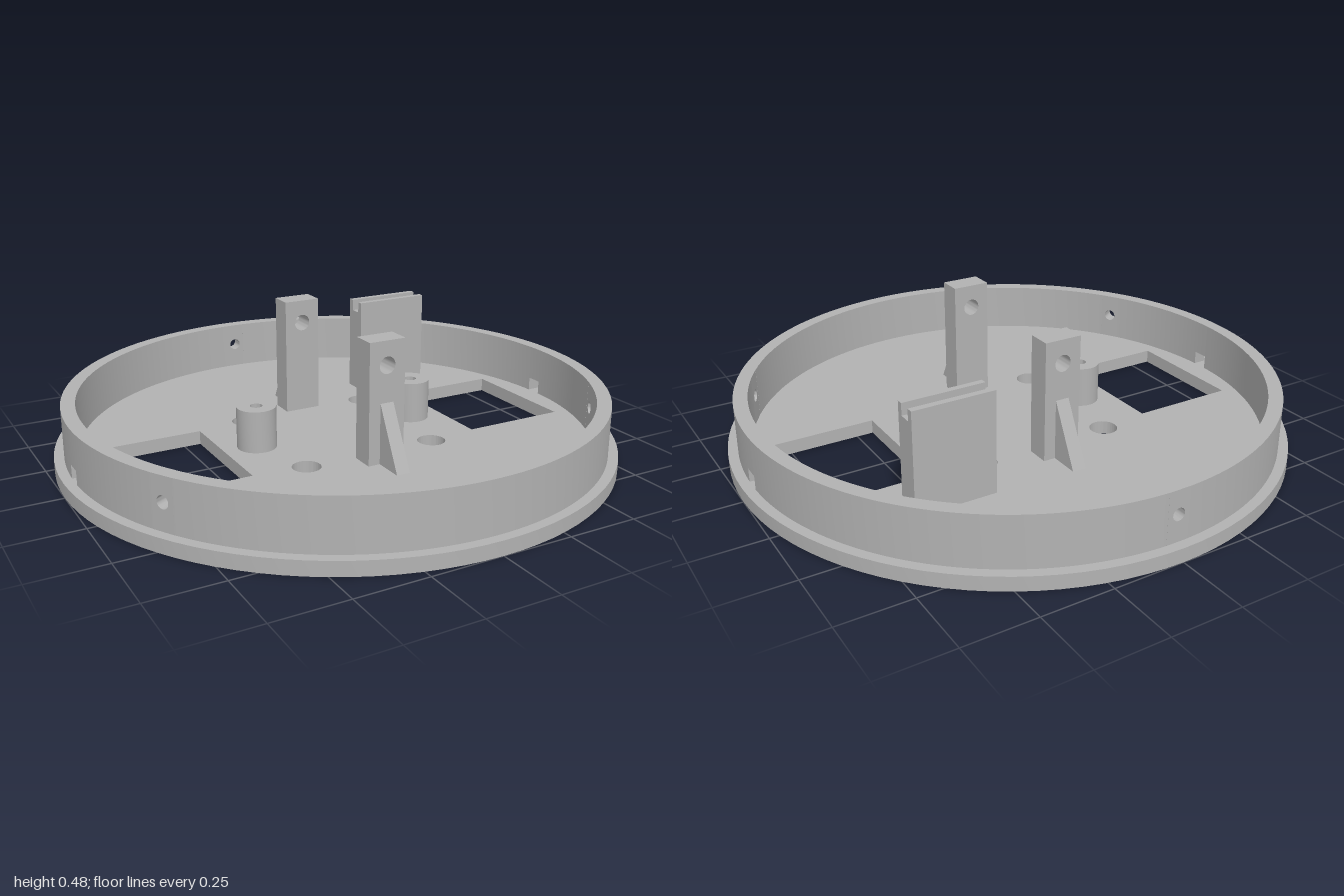
import * as THREE from 'three';
import { toCreasedNormals } from 'three/addons/utils/BufferGeometryUtils.js';

const FLOOR = 0.05, RIM = 0.23, R_OUT = 0.965, R_IN = 0.915;
const HOLE = 0.022;

const circle = (x, y, r) => new THREE.Path().absarc(x, y, r, 0, Math.PI * 2, false);

function polygon(points, holes = []) {
  const s = new THREE.Shape(points.map(([x, y]) => new THREE.Vector2(x, y)));
  s.holes.push(...holes);
  return s;
}

function rect(x0, y0, x1, y1, holes) {
  return polygon([[x0, y0], [x1, y0], [x1, y1], [x0, y1]], holes);
}

function extrude(shape, depth, curveSegments = 16) {
  return new THREE.ExtrudeGeometry(shape, { depth, bevelEnabled: false, curveSegments });
}

// Extrudes a plan outline upward from y0 to y1
function upright(shape, y0, y1, curveSegments) {
  return extrude(shape, y1 - y0, curveSegments).rotateX(-Math.PI / 2).translate(0, y0, 0);
}

export function createModel() {
  const model = new THREE.Group();
  model.name = 'mountingBase';
  const gray = new THREE.MeshStandardMaterial({ color: 0xb2b2b2 });
  gray.name = 'light gray';

  function add(parent, name, geometry) {
    const mesh = new THREE.Mesh(toCreasedNormals(geometry, 0.5), gray);
    mesh.name = name;
    parent.add(mesh);
    return mesh;
  }

  // Round floor plate with two windows, four large holes and two screw holes
  const disc = new THREE.Shape().absarc(0, 0, 1, 0, Math.PI * 2, false);
  for (const sx of [-1, 1]) {
    disc.holes.push(rect(sx * 0.44, -0.232, sx * 0.83, 0.232));
    disc.holes.push(circle(sx * 0.317, 0, HOLE));
    for (const sz of [-1, 1]) disc.holes.push(circle(sx * 0.25, sz * 0.25, 0.05));
  }
  add(model, 'floorPlate', upright(disc, 0, FLOOR, 48));

  // Rim wall: curved sectors between three drilled panels and two notches
  const rim = new THREE.Group();
  rim.name = 'rim';
  model.add(rim);

  function wallSector(name, a0, a1, y0, segments) {
    const s = new THREE.Shape();
    s.absarc(0, 0, R_OUT, a0, a1, false);
    s.absarc(0, 0, R_IN, a1, a0, true);
    add(rim, name, upright(s, y0, RIM, segments));
  }

  const rad = THREE.MathUtils.degToRad;
  const notchHalf = 0.031, panelHalf = 0.0415;
  const breaks = [
    { angle: 0, half: notchHalf },
    { angle: rad(90), half: panelHalf, drilled: true },
    { angle: rad(180), half: notchHalf },
    { angle: rad(210), half: panelHalf, drilled: true },
    { angle: rad(330), half: panelHalf, drilled: true },
  ];
  breaks.forEach((b, i) => {
    const next = breaks[(i + 1) % breaks.length];
    const end = next.angle + (i === breaks.length - 1 ? Math.PI * 2 : 0);
    wallSector('rimWall', b.angle + b.half, end - next.half, FLOOR, 24);
    if (b.drilled) {
      const panel = rect(-0.04, FLOOR, 0.04, RIM, [circle(0, 0.145, HOLE)]);
      const geo = extrude(panel, R_OUT - R_IN).translate(0, 0, R_IN - 0.0005);
      add(rim, 'drilledRimPanel', geo).rotation.y = b.angle + Math.PI / 2;
    } else {
      wallSector('notchLintel', b.angle - b.half, b.angle + b.half, 0.1, 2);
    }
  });

  // Hollow screw standoffs
  for (const sx of [-1, 1]) {
    const ring = new THREE.Shape().absarc(0, 0, 0.07, 0, Math.PI * 2, false);
    ring.holes.push(circle(0, 0, HOLE));
    add(model, 'standoff', upright(ring, FLOOR, 0.2)).position.x = sx * 0.317;
  }

  // Drilled posts with a triangular gusset on the outer side
  for (const [name, turn] of [['frontPost', 0], ['backPost', Math.PI]]) {
    const group = new THREE.Group();
    group.name = name;
    group.rotation.y = turn;
    model.add(group);
    const face = rect(-0.068, FLOOR, 0.068, 0.48, [circle(0, 0.395, 0.03)]);
    add(group, 'post', extrude(face, 0.085).translate(0, 0, 0.265));
    const side = polygon([[0.35, FLOOR], [0.46, FLOOR], [0.35, 0.265]]);
    add(group, 'gusset', extrude(side, 0.05).rotateY(-Math.PI / 2).translate(0.025, 0, 0));
  }

  // Upright board holder with a slot along its top edge
  const holder = polygon([
    [0.357, FLOOR], [0.446, FLOOR], [0.446, 0.412], [0.423, 0.412],
    [0.423, 0.37], [0.379, 0.37], [0.379, 0.412], [0.357, 0.412],
  ]);
  add(model, 'slottedHolder', extrude(holder, 0.29).rotateY(Math.PI / 2).translate(0.31, 0, 0));

  return model;
}
